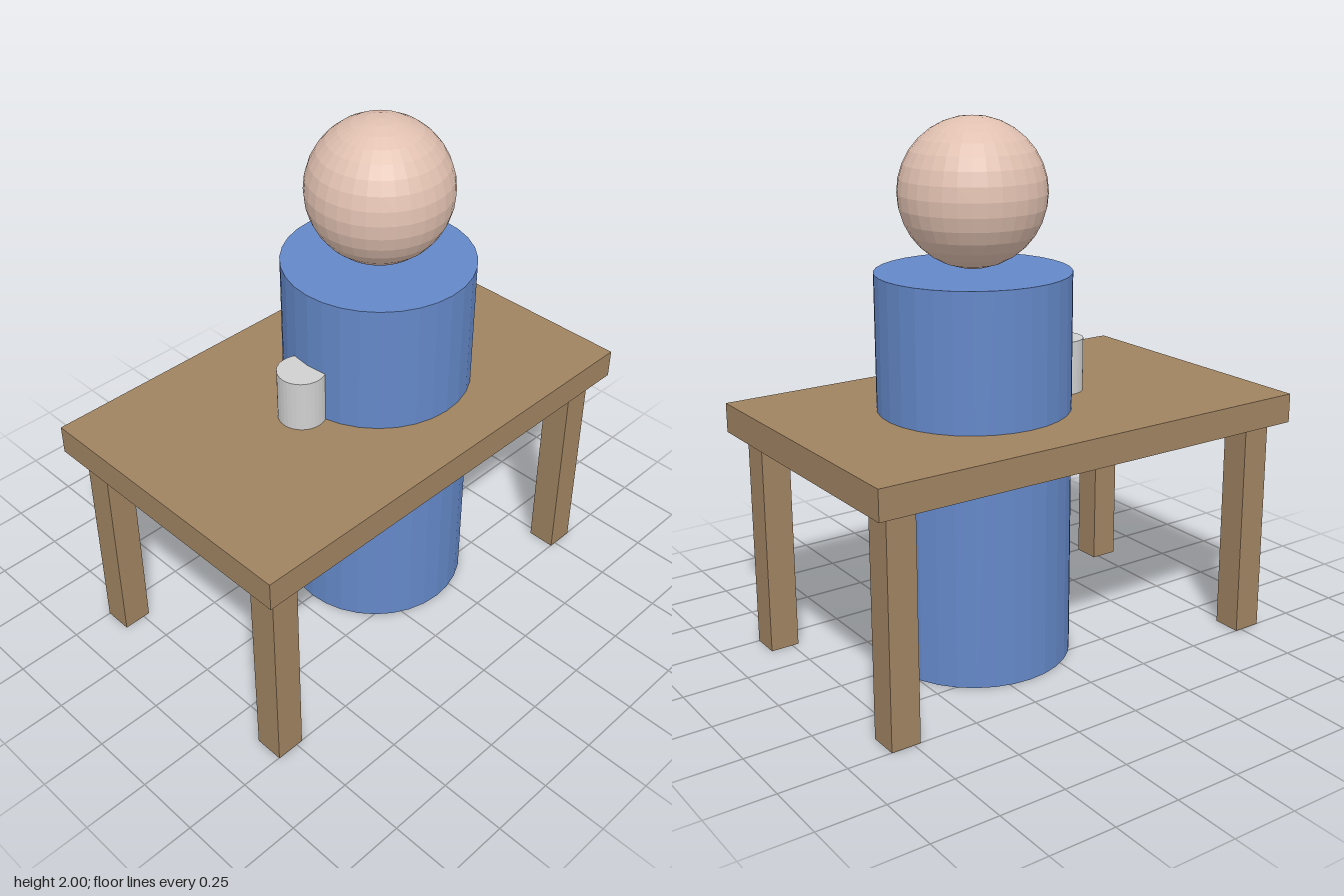
import * as THREE from 'three';

const material = (name, color) => {
  const m = new THREE.MeshStandardMaterial({ color, flatShading: true });
  m.name = name;
  return m;
};

export function createModel() {
  const model = new THREE.Group();
  const wood = material('wood brown', 0xa08361);
  const cloth = material('cloth blue', 0x6488c8);
  const skin = material('skin', 0xe0c0b0);
  const metal = material('light grey', 0xd0d0d0);

  const add = (name, geometry, mat, x, y, z, parent = model) => {
    const mesh = new THREE.Mesh(geometry, mat);
    mesh.name = name;
    mesh.position.set(x, y, z);
    parent.add(mesh);
  };

  // Table: slab top on four square legs
  const table = new THREE.Group();
  table.name = 'table';
  model.add(table);
  add('tableTop', new THREE.BoxGeometry(1.783, 0.111, 1.114), wood, 0, 0.897, 0, table);
  const leg = new THREE.BoxGeometry(0.111, 0.841, 0.111);
  for (const [side, x] of [['Left', 0.78], ['Right', -0.78]])
    for (const [end, z] of [['front', 0.446], ['back', -0.446]])
      add(`${end}${side}Leg`, leg, wood, x, 0.4205, z, table);

  // Figure: cylinder body standing through the table, head floating just above
  add('body', new THREE.CylinderGeometry(0.356, 0.356, 1.455, 32), cloth, 0.165, 0.7275, 0);
  add('head', new THREE.SphereGeometry(0.267, 32, 16), skin, 0.165, 1.733, 0);

  // Cup on the table, partly sunk into the body
  add('cup', new THREE.CylinderGeometry(0.089, 0.089, 0.203, 32), metal, -0.224, 1.0535, 0);

  return model;
}
